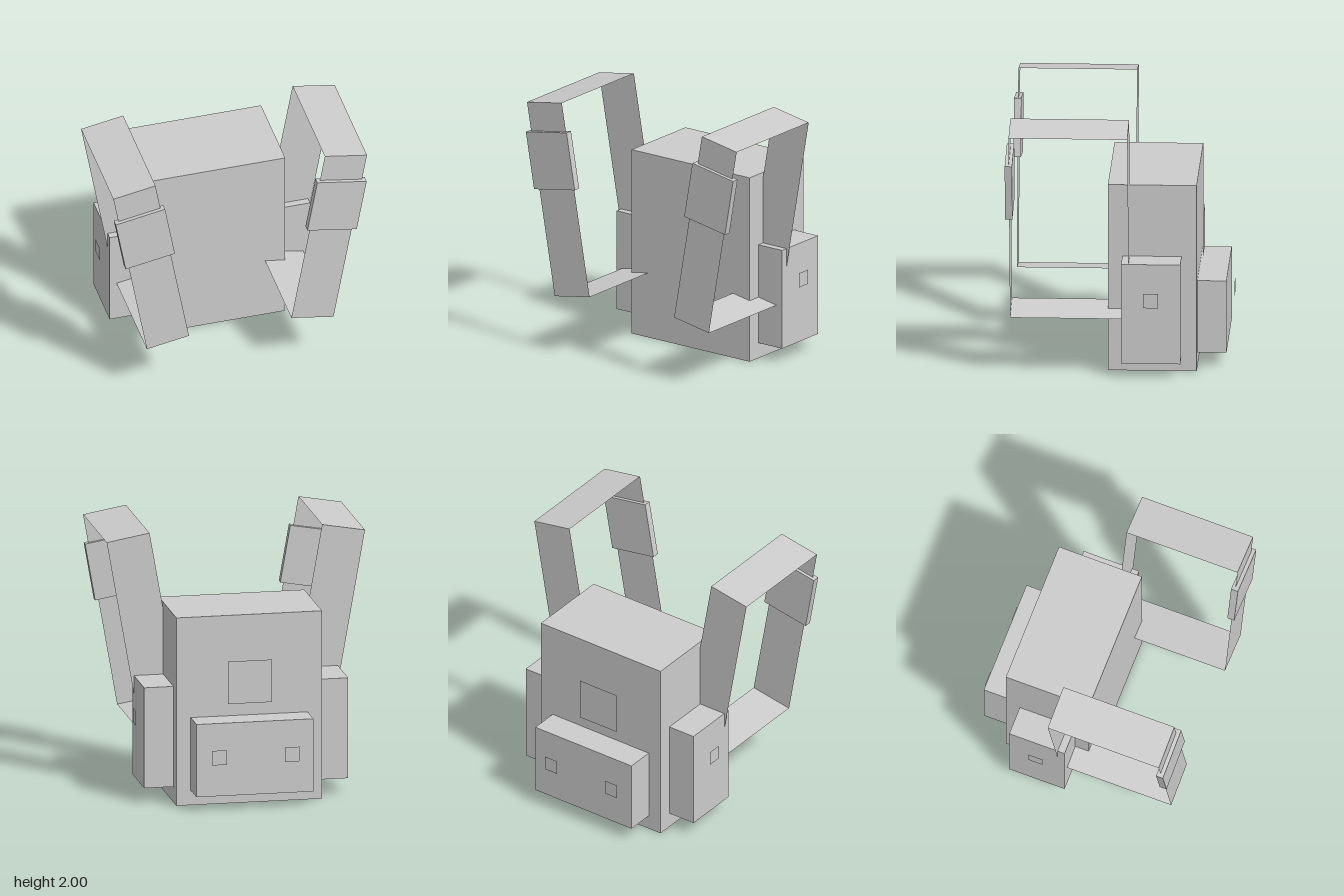
import * as THREE from 'three';

export function createModel() {
  const model = new THREE.Group();
  model.name = 'backpack';
  const grey = new THREE.MeshStandardMaterial({ color: 0xcccccc, side: THREE.DoubleSide });
  grey.name = 'grey';

  const add = (parent, name, geometry, x, y, z, rx = 0, ry = 0) => {
    const mesh = new THREE.Mesh(geometry, grey);
    mesh.name = name;
    mesh.position.set(x, y, z);
    mesh.rotation.set(rx, ry, 0);
    parent.add(mesh);
  };
  const box = (w, h, d) => new THREE.BoxGeometry(w, h, d);
  const plane = (w, h) => new THREE.PlaneGeometry(w, h);

  // Main bag, back pocket and the badge standing just off the back
  add(model, 'body', box(1.12, 1.46, 0.67), 0, 0.73, -0.255);
  add(model, 'backPocket', box(0.9, 0.565, 0.22), 0, 0.3975, -0.7);
  add(model, 'backBadge', plane(0.34, 0.33), 0, 0.943, -0.62, 0, Math.PI);

  for (const side of [1, -1]) {
    const label = side > 0 ? 'left' : 'right';

    // Side pocket and small square fasteners
    add(model, label + 'Pocket', box(0.225, 0.78, 0.447), side * 0.6725, 0.51, -0.253);
    add(model, label + 'PocketButton', plane(0.113, 0.113), side * 0.815, 0.623, -0.253, 0, side * Math.PI / 2);
    add(model, label + 'BackButton', plane(0.113, 0.113), side * 0.28, 0.42, -0.842, 0, Math.PI);

    // Shoulder strap: a thin rectangular loop leaning outwards
    const strap = new THREE.Group();
    strap.name = label + 'Strap';
    strap.position.set(side * 0.6975, 1.2275, 0.363);
    strap.rotation.z = -side * THREE.MathUtils.degToRad(10);
    const w = 0.335, h = 1.512, d = 0.896;
    add(strap, 'strapFront', plane(w, h), 0, 0, d / 2);
    add(strap, 'strapBack', plane(w, h), 0, 0, -d / 2, 0, Math.PI);
    add(strap, 'strapTop', plane(w, d), 0, h / 2, 0, -Math.PI / 2);
    add(strap, 'strapBottom', plane(w, d), 0, -h / 2, 0, Math.PI / 2);
    add(strap, 'strapPad', box(0.392, 0.447, 0.055), 0, 0.308, 0.45);
    model.add(strap);
  }
  return model;
}
